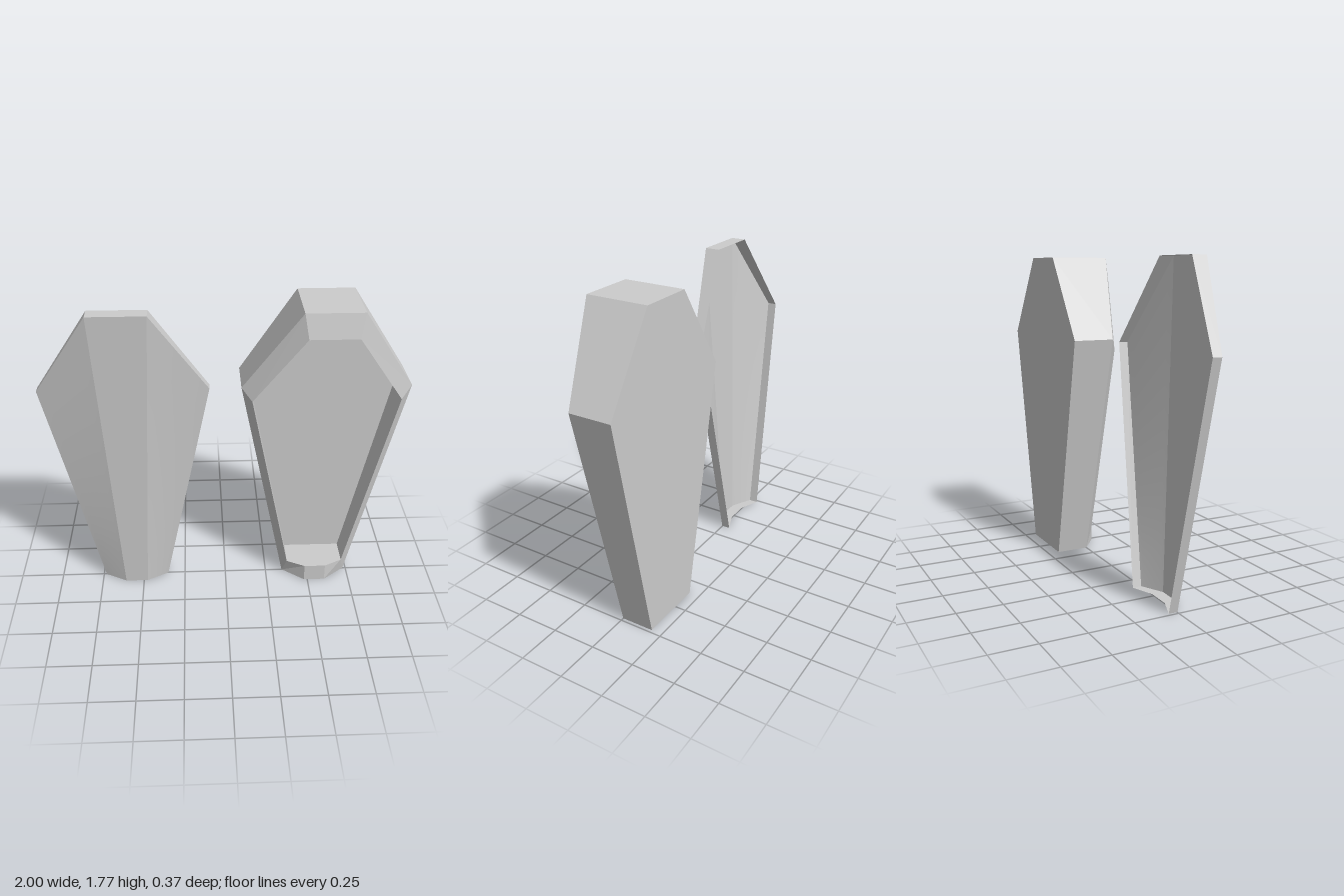
import * as THREE from 'three';

const material = new THREE.MeshStandardMaterial({ color: 0xcccccc, side: THREE.DoubleSide });

// Closed outline from its +x half (foot middle, foot corner, shoulder, head), counterclockwise from the front
const loop = (half) => [...half, ...half.map(([x, y, z]) => [-x, y, z]).reverse()];

// Flat-shaded wall joining two outlines
function bridge(a, b) {
  const pos = [];
  a.forEach((p, i) => {
    const j = (i + 1) % a.length;
    pos.push(...p, ...a[j], ...b[j], ...p, ...b[j], ...b[i]);
  });
  return fromPositions(pos);
}

// Flat panel filling an outline
function cap(a, facesBack) {
  const pos = [];
  for (let i = 1; i < a.length - 1; i++) {
    const [p, q] = facesBack ? [a[i + 1], a[i]] : [a[i], a[i + 1]];
    pos.push(...a[0], ...p, ...q);
  }
  return fromPositions(pos);
}

function fromPositions(pos) {
  const g = new THREE.BufferGeometry();
  g.setAttribute('position', new THREE.Float32BufferAttribute(pos, 3));
  g.computeVertexNormals();
  return g;
}

// Gently twisted panel spanning four corners
function patch(bl, br, tl, tr) {
  const g = new THREE.PlaneGeometry(1, 1, 8, 8);
  const { position, uv } = g.attributes;
  for (let i = 0; i < position.count; i++) {
    const u = uv.getX(i), v = uv.getY(i);
    const at = (k) => (bl[k] * (1 - u) + br[k] * u) * (1 - v) + (tl[k] * (1 - u) + tr[k] * u) * v;
    position.setXYZ(i, at(0), at(1), at(2));
  }
  g.computeVertexNormals();
  return g;
}

function add(group, name, geometry) {
  const mesh = new THREE.Mesh(geometry, material);
  mesh.name = name;
  group.add(mesh);
}

export function createModel() {
  const model = new THREE.Group();
  model.name = 'coffinWithLid';

  // Coffin box: back, outer walls, raised rim, hollow inside and foot ledge
  const coffin = new THREE.Group();
  coffin.name = 'coffin';
  coffin.position.x = 0.541;
  const outerHalf = [[0.062, 0, 0.097], [0.19, 0, 0], [0.457, 1.31, 0.05], [0.153, 1.77, 0.155]];
  const innerHalf = [[0.062, 0.105, 0.097], [0.166, 0.105, 0.045], [0.4, 1.245, 0.09], [0.13, 1.64, 0.183]];
  const atDepth = (half, z) => loop(half.map(([x, y]) => [x, y, z]));
  const back = atDepth(outerHalf, -0.186);
  const floor = atDepth(innerHalf, -0.11);
  const outer = loop(outerHalf), inner = loop(innerHalf);
  add(coffin, 'backPanel', cap(back, true));
  add(coffin, 'outerWalls', bridge(back, outer));
  add(coffin, 'rim', bridge(outer, inner));
  add(coffin, 'innerWalls', bridge(inner, floor));
  add(coffin, 'innerFloor', cap(floor, false));
  model.add(coffin);

  // Lid: a thin three-panel shell with a shallow edge, open at the back
  const lid = new THREE.Group();
  lid.name = 'lid';
  lid.position.x = -0.543;
  const front = loop([[0.065, 0, 0.068], [0.19, 0, 0.003], [0.457, 1.31, 0.054], [0.153, 1.77, 0.16]]);
  const rear = loop([[0.065, 0, 0.002], [0.19, 0, -0.048], [0.457, 1.31, 0.003], [0.153, 1.77, 0.077]]);
  const [midL, footL, shoulderL, headL, headR, shoulderR, footR, midR] = front;
  add(lid, 'lidEdge', bridge(rear, front));
  add(lid, 'lidMiddlePanel', patch(midR, midL, headR, headL));
  add(lid, 'lidLeftPanel', patch(midL, footL, headL, shoulderL));
  add(lid, 'lidRightPanel', patch(footR, midR, shoulderR, headR));
  model.add(lid);

  return model;
}
